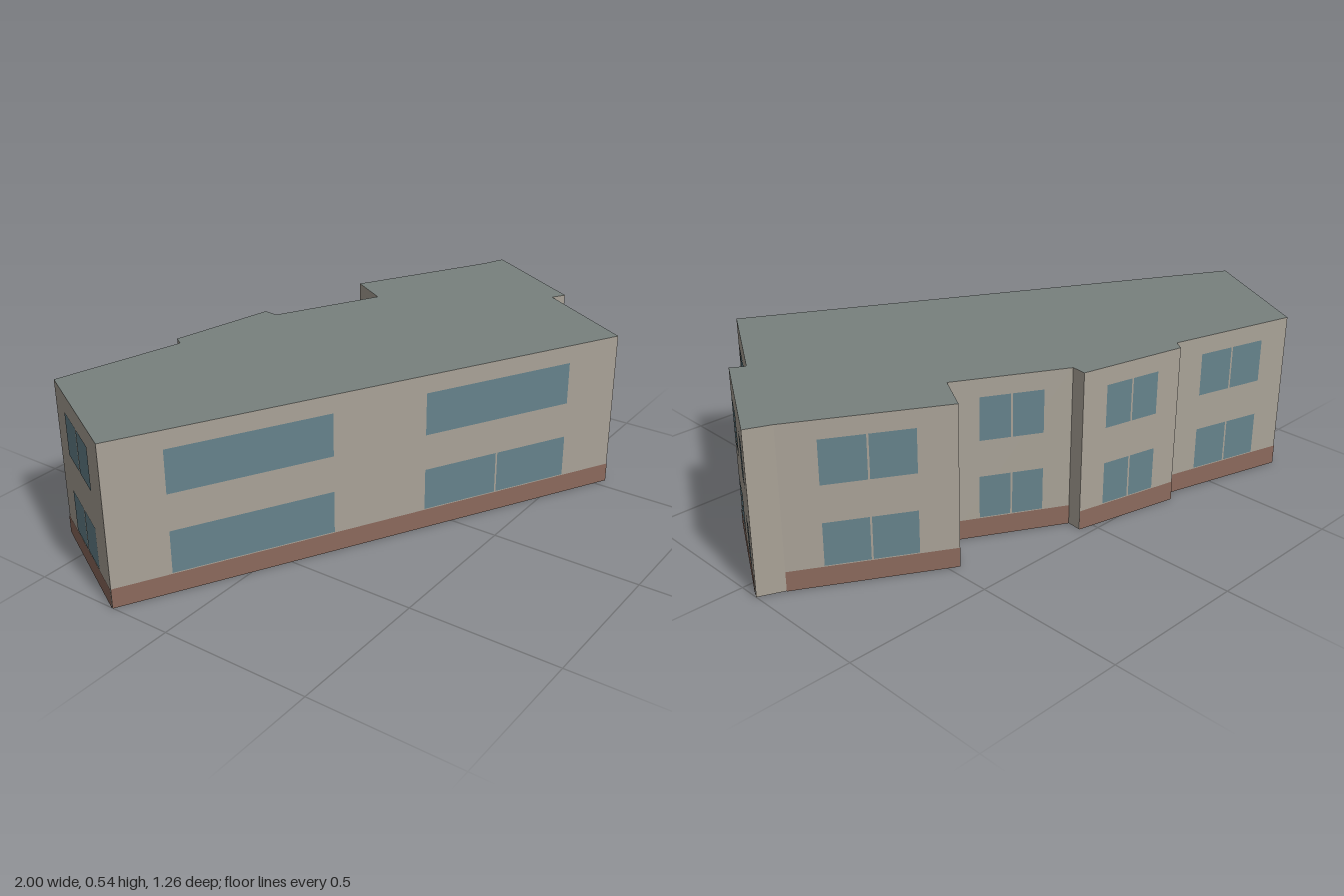
import * as THREE from 'three';

const HEIGHT = 0.54, PLINTH = 0.066;
const FLOORS = [[0.069, 0.212], [0.335, 0.48]];
const OFFSET = 0.002; // panels sit just proud of the wall
const MULLION = 0.006;

// Footprint corners (x, z) walked with the outside on the right-hand side.
// Each entry also describes the wall that starts there:
// plinth flag, and windows as [start, end] fractions of the wall length.
const WALLS = [
  { at: [-1, -0.21], name: 'frontWall', plinth: true, windows: [[0.107, 0.409], [0.591, 0.893]], single: true },
  { at: [0.542, 0.628], name: 'leftWallFront', plinth: true, windows: [[0.23, 0.757]] },
  { at: [0.742, 0.28], name: 'leftStep' },
  { at: [0.787, 0.307], name: 'leftWallBack', plinth: true, windows: [[0.133, 0.467], [0.707, 0.907]] },
  { at: [1, -0.07], name: 'cornerWall' },
  { at: [0.918, -0.105], name: 'backWallLeft', plinth: true, windows: [[0.22, 0.765]] },
  { at: [0.465, -0.36], name: 'recessSide', plinth: true, windows: [[0.25, 0.79]] },
  { at: [0.39, -0.23], name: 'recessWall', plinth: true, windows: [[0.25, 0.77]] },
  { at: [0.045, -0.415], name: 'backStepLeft' },
  { at: [0.05, -0.465], name: 'backWallMiddle', plinth: true, windows: [[0.235, 0.765]] },
  { at: [-0.31, -0.545], name: 'backStepRight' },
  { at: [-0.332, -0.512], name: 'backWallRight', plinth: true, windows: [[0.23, 0.77]] },
  { at: [-0.767, -0.63], name: 'rightWall', plinth: true, windows: [[0.237, 0.77]] },
];

export function createModel() {
  const building = new THREE.Group();
  building.name = 'building';

  const wallMat = new THREE.MeshStandardMaterial({ color: 0xaaa398, side: THREE.DoubleSide });
  const roofMat = new THREE.MeshStandardMaterial({ color: 0x78817e, side: THREE.DoubleSide });
  const brickMat = new THREE.MeshStandardMaterial({ color: 0x8c6a5d });
  const glassMat = new THREE.MeshStandardMaterial({ color: 0x66838c });

  // Upright rectangle in wall space: x along the wall, y up, z outwards
  const panel = (parent, name, mat, x0, x1, y0, y1, z = 0) => {
    const mesh = new THREE.Mesh(new THREE.PlaneGeometry(x1 - x0, y1 - y0), mat);
    mesh.position.set((x0 + x1) / 2, (y0 + y1) / 2, z);
    mesh.name = name;
    parent.add(mesh);
  };

  WALLS.forEach((wall, i) => {
    const [x, z] = wall.at;
    const [nx, nz] = WALLS[(i + 1) % WALLS.length].at;
    const length = Math.hypot(nx - x, nz - z);

    const group = new THREE.Group();
    group.name = wall.name;
    group.position.set(x, 0, z);
    group.rotation.y = Math.atan2(z - nz, nx - x);
    building.add(group);

    panel(group, 'wallFace', wallMat, 0, length, 0, HEIGHT);
    if (wall.plinth) panel(group, 'brickPlinth', brickMat, 0, length, 0, PLINTH, OFFSET);

    // Windows on both floors, split in two panes by a slim gap
    (wall.windows ?? []).forEach(([a, b], column) => {
      FLOORS.forEach(([y0, y1], floor) => {
        const x0 = a * length, x1 = b * length, mid = (x0 + x1) / 2;
        const split = !wall.single || (column === 1 && floor === 0);
        if (split) {
          panel(group, 'windowPane', glassMat, x0, mid - MULLION / 2, y0, y1, OFFSET);
          panel(group, 'windowPane', glassMat, mid + MULLION / 2, x1, y0, y1, OFFSET);
        } else {
          panel(group, 'window', glassMat, x0, x1, y0, y1, OFFSET);
        }
      });
    });
  });

  // Flat roof over the footprint; the underside stays open
  const outline = new THREE.Shape(WALLS.map(({ at: [x, z] }) => new THREE.Vector2(x, -z)));
  const roof = new THREE.Mesh(new THREE.ShapeGeometry(outline).rotateX(-Math.PI / 2), roofMat);
  roof.position.y = HEIGHT;
  roof.name = 'roof';
  building.add(roof);

  return building;
}
